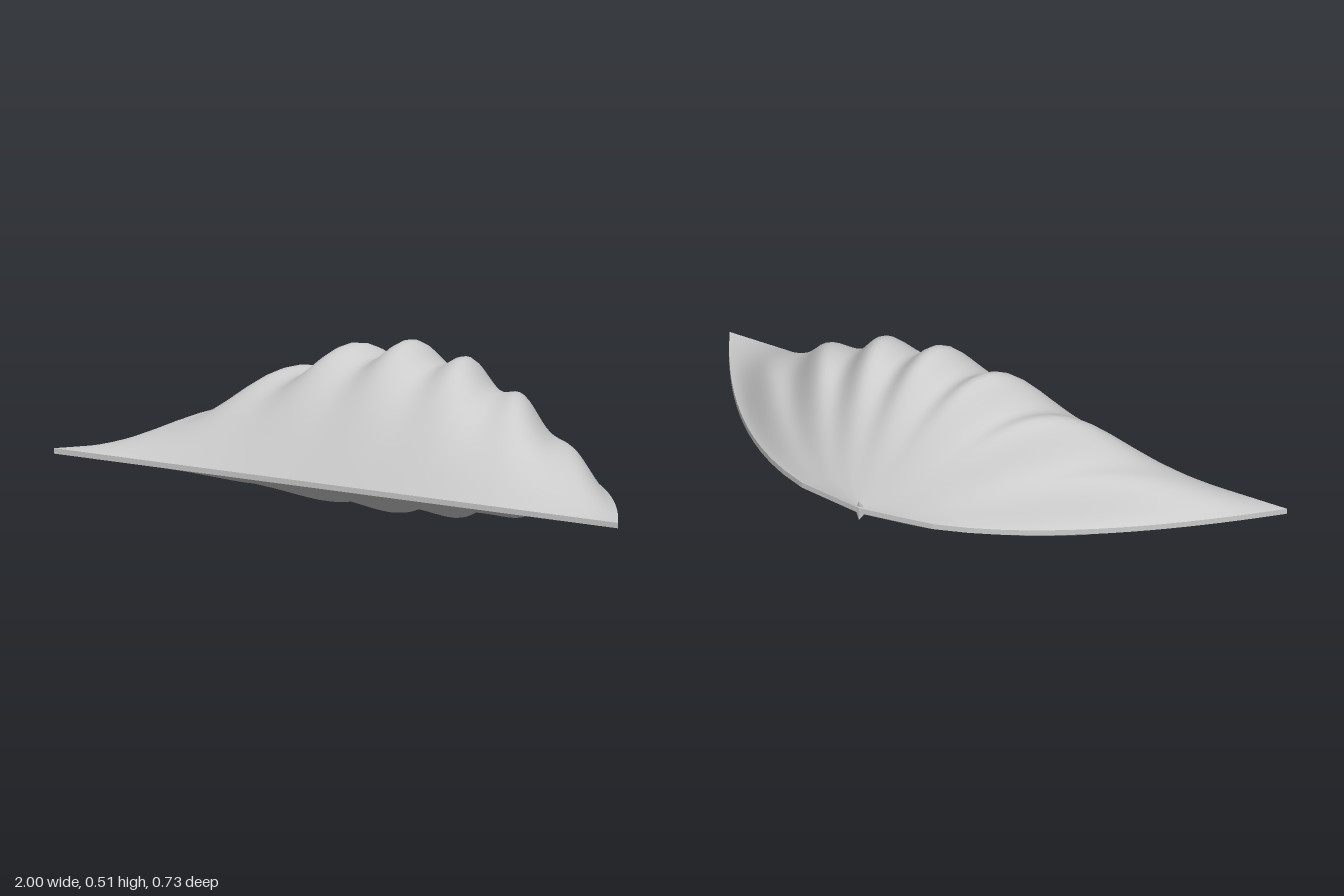
import * as THREE from 'three';

const ROWS = 18, COLS = 84, RIBS = 7;
const DEPTH = 0.73, MID = 0.125, RIM = 0.008;

// One ribbed valve: a sheet fanned out of the hinge and swollen up or down
function valve(name, dir, swell, rib, material) {
  const geo = new THREE.PlaneGeometry(2, 1, COLS, ROWS);
  geo.rotateX(-dir * Math.PI / 2);
  const p = geo.attributes.position;
  for (let i = 0; i < p.count; i++) {
    const u = p.getX(i);
    const v = THREE.MathUtils.clamp(p.getZ(i) + 0.5, 0, 1);
    const across = Math.max(0, 1 - u * u);
    const arch = Math.sin(Math.PI * v);
    const bulge = swell * Math.pow(across, 1.06) * arch;
    const ridge = rib * Math.sqrt(across) * Math.pow(arch, 3) * Math.cos(Math.PI * RIBS * u);
    p.setXYZ(i, u * Math.sqrt(v), MID + dir * (RIM + Math.max(0, bulge + ridge)), (v - 0.5) * DEPTH);
  }
  geo.computeVertexNormals();
  const mesh = new THREE.Mesh(geo, material);
  mesh.name = name;
  return mesh;
}

export function createModel() {
  const group = new THREE.Group();
  group.name = 'scallopShell';
  const material = new THREE.MeshStandardMaterial({ color: 0xcccccc, side: THREE.DoubleSide });

  group.add(valve('upperValve', 1, 0.345, 0.028, material));
  group.add(valve('lowerValve', -1, 0.099, 0.018, material));

  // Thin rim where the valves meet: straight front lip, parabolic back
  const outline = new THREE.Shape();
  for (let i = -ROWS; i <= ROWS; i++) {
    const v = Math.abs(i) / ROWS;
    const x = Math.sign(i) * Math.sqrt(v), y = (0.5 - v) * DEPTH;
    if (i === -ROWS) outline.moveTo(x, y);
    else outline.lineTo(x, y);
  }
  outline.closePath();
  const rimGeo = new THREE.ExtrudeGeometry(outline, { depth: RIM * 2, bevelEnabled: false });
  rimGeo.rotateX(-Math.PI / 2);
  const rim = new THREE.Mesh(rimGeo, material);
  rim.name = 'shellRim';
  rim.position.y = MID - RIM;
  group.add(rim);

  // Small flared beaks at the hinge
  for (const dir of [1, -1]) {
    const beak = new THREE.Mesh(new THREE.ConeGeometry(0.012, 0.034, 6), material);
    beak.name = dir > 0 ? 'upperBeak' : 'lowerBeak';
    beak.scale.set(2, 1, 0.6);
    beak.rotation.x = dir > 0 ? -0.35 : Math.PI + 0.35;
    beak.position.set(0, MID + dir * 0.014, -0.36);
    group.add(beak);
  }
  return group;
}
